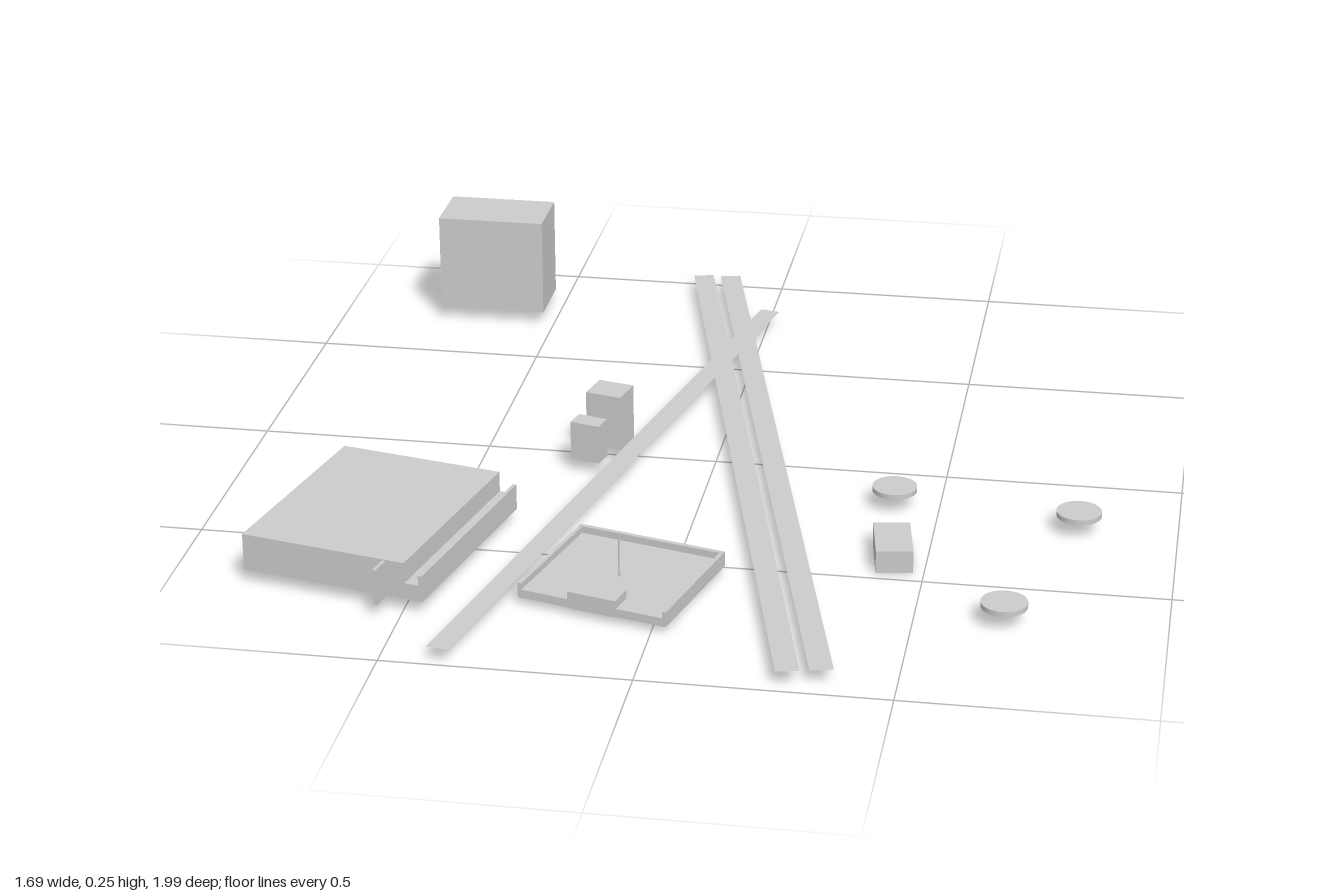
import * as THREE from 'three';

const grey = new THREE.MeshStandardMaterial({ color: 0xcccccc, flatShading: true });
const thin = new THREE.MeshStandardMaterial({ color: 0xcccccc, side: THREE.DoubleSide });

// Box centred on x, z and spanning y0 to y1
function block(name, w, d, y0, y1, x, z, turn = 0) {
  const mesh = new THREE.Mesh(new THREE.BoxGeometry(w, y1 - y0, d), grey);
  mesh.name = name;
  mesh.position.set(x, (y0 + y1) / 2, z);
  mesh.rotation.y = turn;
  return mesh;
}

// Flat strip between two ground points
function runway(x0, z0, x1, z1, width, y) {
  const geo = new THREE.PlaneGeometry(width, Math.hypot(x1 - x0, z1 - z0));
  geo.rotateX(-Math.PI / 2);
  const mesh = new THREE.Mesh(geo, thin);
  mesh.name = 'runway';
  mesh.position.set((x0 + x1) / 2, y, (z0 + z1) / 2);
  mesh.rotation.y = Math.atan2(x1 - x0, z1 - z0);
  return mesh;
}

function turnedGroup(name, x, z, turn) {
  const group = new THREE.Group();
  group.name = name;
  group.position.set(x, 0, z);
  group.rotation.y = turn;
  return group;
}

export function createModel() {
  const model = new THREE.Group();
  model.name = 'airfield';

  // Two parallel runways and one crossing them
  model.add(
    runway(-0.188, -0.984, 0.293, 0.973, 0.047, 0.03),
    runway(-0.124, -0.99, 0.357, 0.958, 0.047, 0.03),
    runway(0.003, -0.788, -0.384, 0.989, 0.045, 0.0305)
  );

  // Main hall with a low side ledge, its parapet and a fin at the front
  const hall = turnedGroup('hall', -0.604, 0.535, -0.212);
  hall.add(
    block('hallBody', 0.358, 0.454, 0.027, 0.106, -0.019, 0),
    block('sideLedge', 0.038, 0.454, 0.027, 0.062, 0.179, 0),
    block('ledgeParapet', 0.008, 0.454, 0.062, 0.083, 0.194, 0),
    block('frontFin', 0.007, 0.045, 0.027, 0.104, 0.117, 0.2495)
  );
  model.add(hall);

  // Walled yard with a hut and a pole
  const yard = turnedGroup('yard', -0.09, 0.624, -0.252);
  yard.add(
    block('yardFloor', 0.322, 0.29, 0.015, 0.033, 0, 0),
    block('backWall', 0.322, 0.01, 0.033, 0.048, 0, -0.14),
    block('hut', 0.104, 0.055, 0.016, 0.052, 0.002, 0.122)
  );
  for (const side of [-1, 1]) {
    yard.add(block('sideWall', 0.008, 0.28, 0.033, 0.047, side * 0.157, 0.005));
  }
  const pole = new THREE.Mesh(new THREE.CylinderGeometry(0.002, 0.002, 0.098, 8), grey);
  pole.name = 'pole';
  pole.position.set(0, 0.081, 0.013);
  yard.add(pole);
  model.add(yard);

  // Free-standing buildings
  model.add(
    block('tallBuilding', 0.245, 0.147, 0.027, 0.25, -0.647, -0.773),
    block('tower', 0.08, 0.072, 0.027, 0.15, -0.234, -0.012, -0.23),
    block('smallTower', 0.066, 0.044, 0.027, 0.113, -0.263, 0.078, -0.24),
    block('shed', 0.076, 0.134, 0, 0.049, 0.43, 0.405, 0.16)
  );

  // Round pads
  for (const [x, z] of [[0.405, 0.155], [0.795, 0.215], [0.677, 0.648]]) {
    const pad = new THREE.Mesh(new THREE.CylinderGeometry(0.047, 0.047, 0.011, 32), grey);
    pad.name = 'roundPad';
    pad.position.set(x, 0.04, z);
    model.add(pad);
  }
  return model;
}
